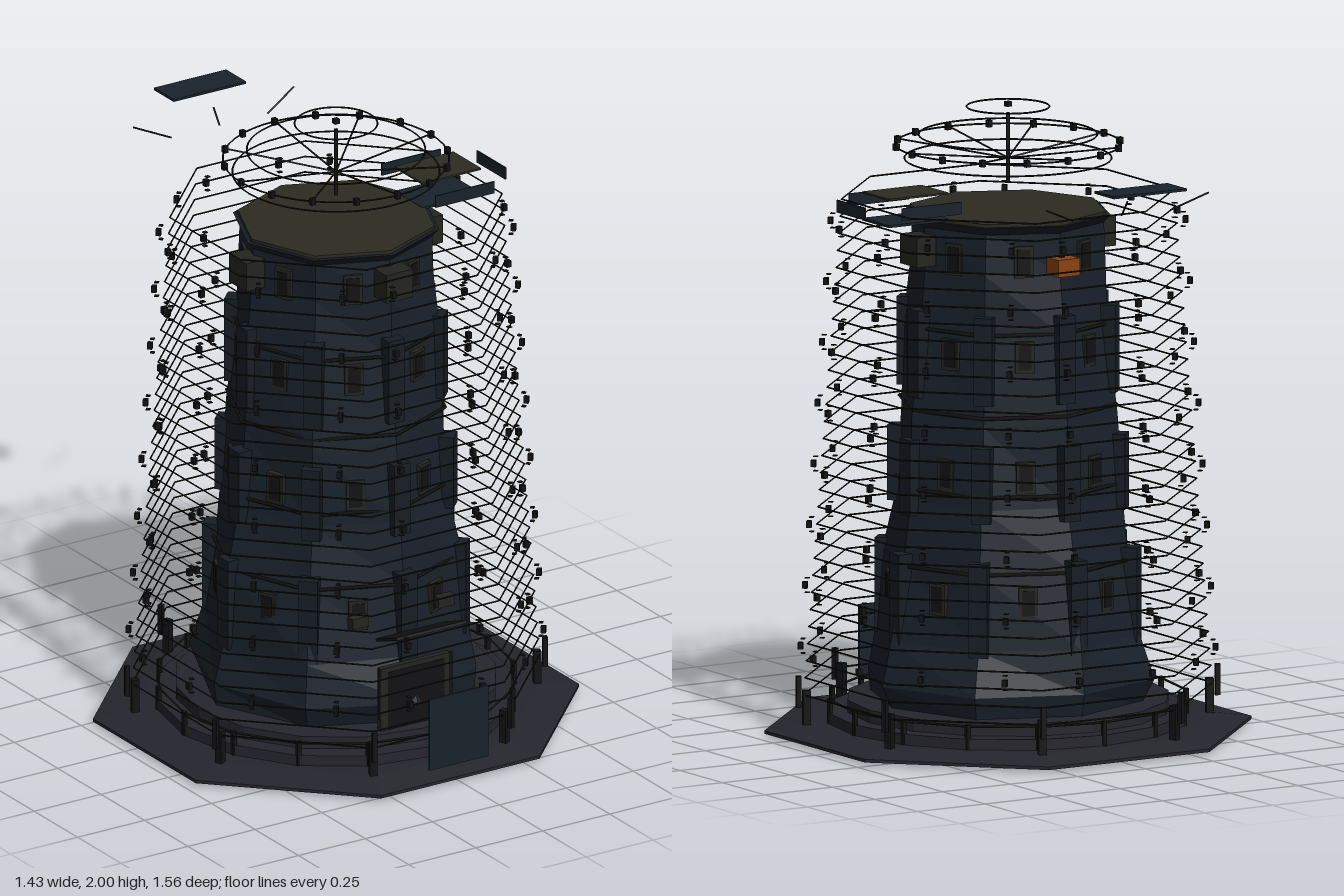
import * as THREE from 'three';

const mat = (color, extra = {}) => new THREE.MeshStandardMaterial({ color, ...extra });
const M = {
  wall: mat(0x19212b, { flatShading: true }),
  rib: mat(0x171d25),
  plate: mat(0x25252d, { flatShading: true }),
  dark: mat(0x121214),
  roof: mat(0x2c2b22),
  wire: mat(0x15140f),
  frame: mat(0x24241f),
  panel: mat(0x19222b),
  amber: mat(0x8a4210),
};
const EIGHTH = Math.PI / 4;
const FLAT = 1 / Math.cos(Math.PI / 8); // apothem to corner radius

export function createModel() {
  const root = new THREE.Group();
  root.name = 'tower';
  const g = new THREE.Group(); // everything round shares this axis
  g.name = 'towerAssembly';
  g.position.z = 0.06;
  root.add(g);

  const add = (name, geo, m, x = 0, y = 0, z = 0, parent = g) => {
    const mesh = new THREE.Mesh(geo, m);
    mesh.name = name;
    mesh.position.set(x, y, z);
    parent.add(mesh);
    return mesh;
  };
  const box = (name, w, h, d, m, x, y, z, parent = g) =>
    add(name, new THREE.BoxGeometry(w, h, d), m, x, y, z, parent);
  // horizontal wire hoop
  const hoop = (name, r, y, t, sides, turn = 0) => {
    const geo = new THREE.TorusGeometry(r, t, 4, sides).rotateX(Math.PI / 2).rotateY(turn);
    return add(name, geo, M.wire, 0, y, 0);
  };
  // straight bar between two points
  const bar = (name, a, b, r, m = M.wire) => {
    const p = new THREE.Vector3(...a), q = new THREE.Vector3(...b);
    const mesh = add(name, new THREE.CylinderGeometry(r, r, p.distanceTo(q), 5), m);
    mesh.position.copy(p).lerp(q, 0.5);
    mesh.quaternion.setFromUnitVectors(new THREE.Vector3(0, 1, 0), q.sub(p).normalize());
    return mesh;
  };
  // group turned to face outward at an angle, local +z outward
  const facing = (name, angle) => {
    const s = new THREE.Group();
    s.name = name;
    s.rotation.y = angle;
    g.add(s);
    return s;
  };

  // base: foot disc, bevelled octagonal slab, stepped plinth
  add('footDisc', new THREE.CylinderGeometry(0.62, 0.62, 0.012, 12), M.dark, 0, 0.006, 0);
  const slab = [[0, 0.01], [0.715, 0.01], [0.715, 0.02], [0.6, 0.036], [0, 0.036]]
    .map(([r, y]) => new THREE.Vector2(r * FLAT, y));
  add('baseSlab', new THREE.LatheGeometry(slab, 8, Math.PI / 8), M.plate);
  [[0.57, 0.07], [0.51, 0.11]].forEach(([r, top]) =>
    add('plinthStep', new THREE.CylinderGeometry(r, r, top - 0.03, 16), M.plate, 0, (top + 0.03) / 2, 0));

  // tower shell: slightly uneven octagonal sections
  const sections = [[0.1, 0.435], [0.18, 0.46], [0.32, 0.425], [0.56, 0.395], [0.76, 0.362],
    [1.02, 0.348], [1.3, 0.328], [1.5, 0.312], [1.64, 0.308]];
  const shell = new THREE.LatheGeometry(sections.map(([r, y]) => new THREE.Vector2(y, r)), 8);
  const p = shell.attributes.position;
  for (let i = 0; i < p.count; i++) {
    const row = i % sections.length, corner = Math.floor(i / sections.length) % 8;
    const fade = row === sections.length - 1 ? 0 : 1;
    const k = 1 + fade * 0.025 * Math.sin(corner * 2.4 + row * 1.9);
    p.setXYZ(i, p.getX(i) * k, p.getY(i), p.getZ(i) * k);
  }
  add('towerWall', shell, M.wall);
  const radiusAt = (y) => {
    const i = Math.max(1, sections.findIndex((s) => s[0] >= y));
    const [y0, r0] = sections[i - 1], [y1, r1] = sections[i];
    return r0 + (r1 - r0) * (y - y0) / (y1 - y0);
  };
  [0.56, 0.8, 1.05, 1.31].forEach((y) => hoop('wallBand', radiusAt(y) + 0.004, y, 0.006, 8));

  // roof and flared cornice
  add('cornice', new THREE.CylinderGeometry(0.33, 0.308, 0.025, 8), M.rib, 0, 1.64, 0);
  add('roof', new THREE.CylinderGeometry(0.315, 0.315, 0.012, 8), M.roof, 0, 1.657, 0);

  for (let k = 0; k < 8; k++) {
    // corner ribs
    const c = facing('cornerRibs', k * EIGHTH);
    [[0.3, 0.6, 0.422], [0.72, 0.96, 0.382], [1.09, 1.37, 0.352]].forEach(([a, b, r]) =>
      box('rib', 0.06, b - a, 0.06, M.rib, 0, (a + b) / 2, r - 0.03, c));
    if (k % 2 === 0 && k !== 4) box('roofLamp', 0.1, 0.095, 0.07, M.frame, 0, 1.56, 0.332, c);
    // windows on each wall face
    const f = facing('wallFace', (k + 0.5) * EIGHTH);
    [0.47, 0.86, 1.24, 1.54].forEach((y) => {
      const r = radiusAt(y) / FLAT;
      box('windowFrame', 0.06, 0.1, 0.02, M.frame, 0, y, r, f);
      box('windowPane', 0.042, 0.08, 0.024, M.dark, 0, y, r, f);
    });
  }
  box('amberBeacon', 0.08, 0.055, 0.07, M.amber, 0, 1.525, -0.325);

  // wire cage of octagonal hoops, narrowing upward
  const cageAt = (y) => 0.6 - (y - 0.13) * 0.0705;
  for (let i = 0; i < 30; i++) {
    const y = 0.13 + i * 0.0543;
    hoop('cageHoop', cageAt(y) * FLAT, y, 0.0028, 8, Math.PI / 8);
  }
  for (let k = 0; k < 8; k++) {
    const side = facing('cageLamps', k * EIGHTH);
    for (let j = 0; j < 8; j++) {
      const y = 0.265 + j * 0.194, z = cageAt(y) + 0.045;
      for (const x of [-0.135, 0.135]) {
        box('lamp', 0.016, 0.022, 0.016, M.dark, x, y, z, side);
        for (const dy of [-0.023, 0.023])
          box('lampTab', 0.014, 0.003, 0.014, M.dark, x, y + dy, z - 0.008, side);
      }
    }
    // corner posts of the cage
    const post = facing('cornerPost', (k + 0.5) * EIGHTH);
    box('postFoot', 0.024, 0.11, 0.024, M.dark, 0, 0.09, 0.64, post);
    box('postHead', 0.016, 0.1, 0.016, M.dark, 0, 0.14, 0.665, post);
  }

  // low railing round the plinth
  for (let k = 0; k < 16; k++) {
    const a = k * EIGHTH / 2;
    box('railPost', 0.014, 0.08, 0.014, M.dark, 0.565 * Math.sin(a), 0.075, 0.565 * Math.cos(a));
  }
  hoop('rail', 0.565, 0.11, 0.004, 16);

  // mast with hoops, spokes and lamps
  bar('mast', [0, 1.74, 0], [0, 1.965, 0], 0.006);
  box('mastCap', 0.018, 0.016, 0.018, M.dark, 0, 1.992, 0);
  [[0.13, 1.984], [0.28, 1.895], [0.355, 1.865], [0.325, 1.82]].forEach(([r, y]) =>
    hoop('mastHoop', r, y, 0.003, 48));
  for (let k = 0; k < 16; k++) {
    const s = Math.sin(k * EIGHTH / 2), c = Math.cos(k * EIGHTH / 2);
    box('hoopLamp', 0.016, 0.022, 0.016, M.dark, 0.355 * s, 1.865, 0.355 * c);
    if (k % 2 === 0) bar('spoke', [0, 1.82, 0], [0.355 * s, 1.867, 0.355 * c], 0.003);
  }

  // open equipment case on the left side
  const deckX = 0.38;
  box('caseLid', 0.22, 0.006, 0.16, M.roof, deckX, 1.745, 0);
  box('caseFloor', 0.22, 0.008, 0.16, M.panel, deckX, 1.66, 0);
  for (const z of [-0.155, 0.155]) box('caseSide', 0.22, 0.04, 0.005, M.panel, deckX, 1.71, z);
  box('caseEnd', 0.005, 0.04, 0.165, M.panel, 0.58, 1.71, 0);

  // rear panel and its struts
  box('rearPanel', 0.27, 0.008, 0.115, M.panel, 0, 1.835, -0.783);
  for (const s of [-1, 0, 1])
    bar('rearStrut', [s * 0.3, 1.79, -0.705], [s * 0.18, 1.74, -0.67], 0.003);

  // entrance: frame, awning and the free-standing door leaf
  box('doorFrame', 0.26, 0.22, 0.02, M.frame, 0, 0.21, 0.45);
  box('doorway', 0.21, 0.2, 0.024, M.dark, 0, 0.205, 0.45);
  const awning = box('awning', 0.26, 0.01, 0.13, M.dark, 0, 0.432, 0.49);
  awning.rotation.x = -0.36;
  for (const s of [-1, 1]) {
    box('doorPost', 0.014, 0.17, 0.01, M.dark, s * 0.13, 0.235, 0.455);
    box('doorLamp', 0.06, 0.035, 0.03, M.frame, s * 0.16, 0.46, 0.375);
  }
  box('doorLeaf', 0.22, 0.24, 0.008, M.panel, 0, 0.18, 0.705);

  return root;
}
